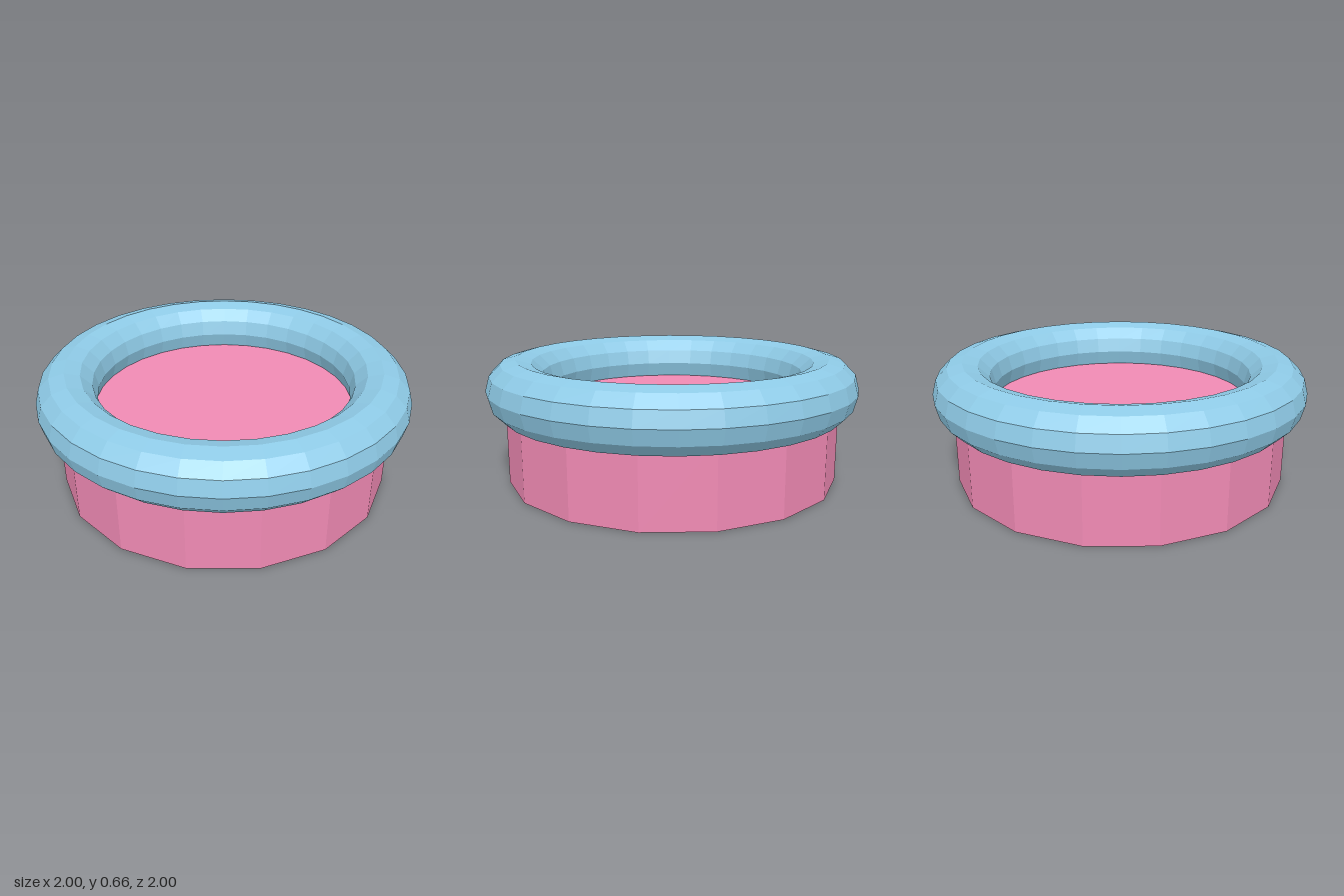
import * as THREE from 'three';

export function createModel() {
  const model = new THREE.Group();

  const addPart = (name, geometry, color, y) => {
    const material = new THREE.MeshStandardMaterial({ color, flatShading: true });
    const mesh = new THREE.Mesh(geometry, material);
    mesh.name = name;
    mesh.position.y = y;
    model.add(mesh);
  };

  // Sixteen-sided drum, its top sunk inside the ring
  const baseHeight = 0.42;
  addPart('base', new THREE.CylinderGeometry(0.9, 0.9, baseHeight, 16), 0xf08ab4, baseHeight / 2);

  // Thick ring lying flat on the rim
  const ring = new THREE.TorusGeometry(0.84, 0.16, 12, 32);
  ring.rotateX(-Math.PI / 2);
  addPart('rimRing', ring, 0x8ecae6, 0.503);

  return model;
}
